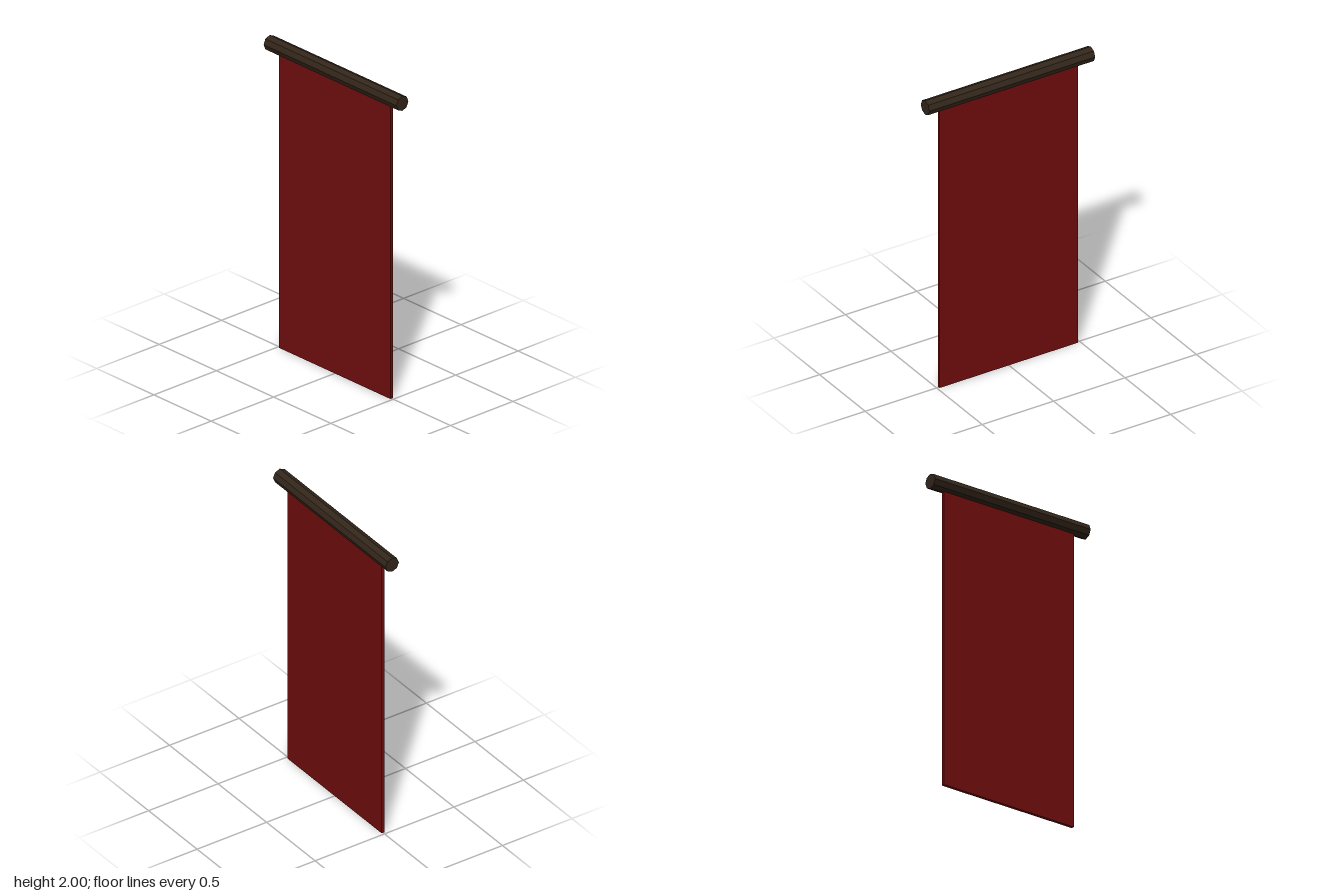
import * as THREE from 'three';

export function createModel() {
  const group = new THREE.Group();

  const add = (name, geometry, color, y) => {
    const material = new THREE.MeshStandardMaterial({ color, flatShading: true });
    const mesh = new THREE.Mesh(geometry, material);
    mesh.name = name;
    mesh.position.y = y;
    group.add(mesh);
  };

  // Eight-sided wooden rod running along z
  const radius = 0.048;
  const rodY = 2 - radius;
  add('rod', new THREE.CylinderGeometry(radius, radius, 1.16, 8).rotateX(Math.PI / 2), 0x33261a, rodY);

  // Thin cloth panel hanging from the middle of the rod
  add('cloth', new THREE.BoxGeometry(0.02, rodY, 0.97), 0x700d0d, rodY / 2);

  return group;
}
